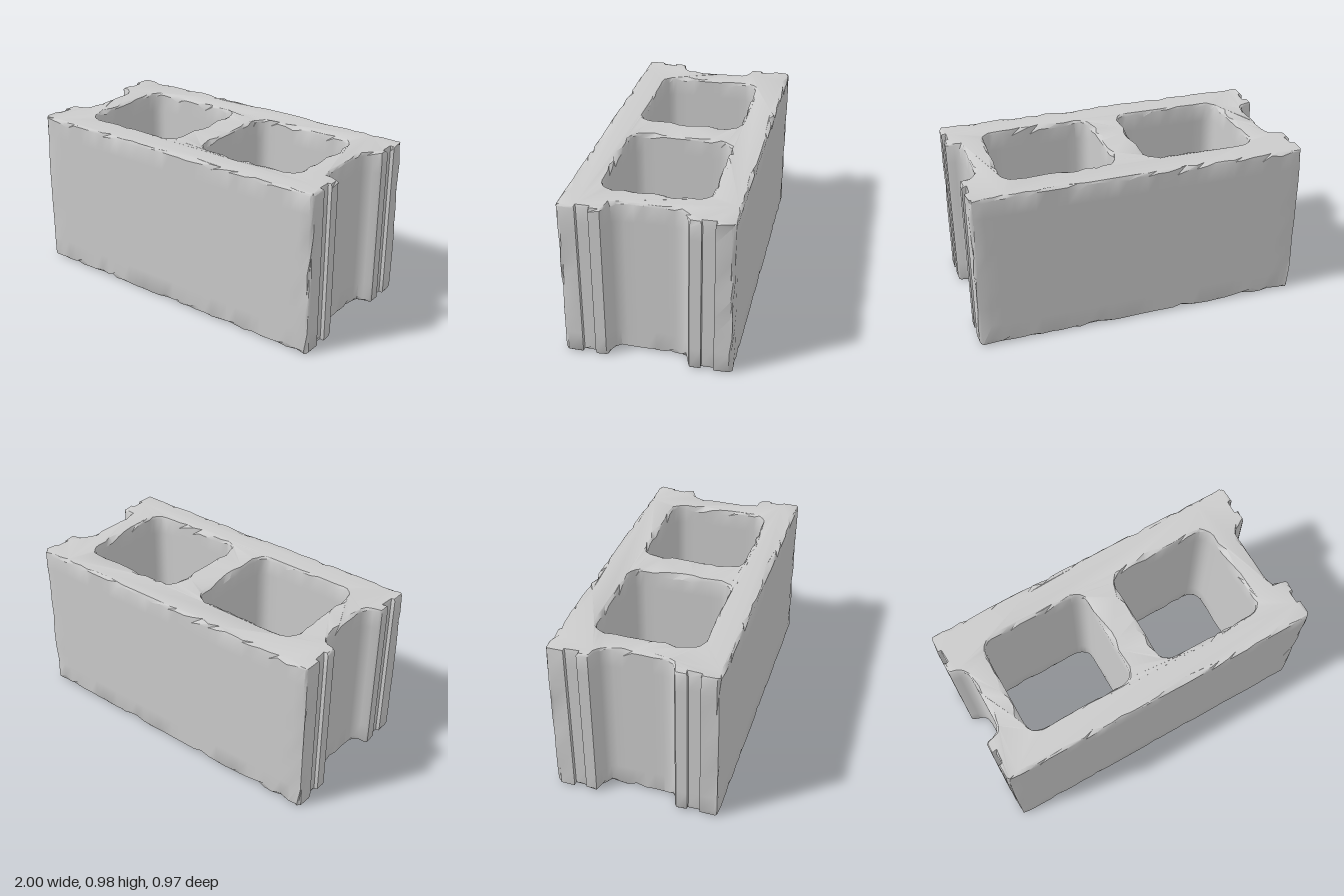
import * as THREE from 'three';
import { toCreasedNormals } from 'three/addons/utils/BufferGeometryUtils.js';

const BOTTOM = 0.008, TOP = 0.981, HALF_DEPTH = 0.487;

// Small seeded generator for the chipped edges
function seeded(seed) {
  return () => {
    seed = (seed * 16807) % 2147483647;
    return seed / 2147483647;
  };
}

// Split long edges of a closed loop so that they can be chipped
function subdivide(loop, step = 0.06) {
  const out = [];
  loop.forEach((a, i) => {
    const b = loop[(i + 1) % loop.length];
    const n = Math.max(1, Math.round(a.distanceTo(b) / step));
    for (let k = 0; k < n; k++) out.push(a.clone().lerp(b, k / n));
  });
  return out;
}

// Plan outline: flanges with a groove, and a rounded recess at each end
function outerLoop() {
  const quarter = [
    [0.978, -HALF_DEPTH], [0.993, -0.481], [0.998, -0.467], [0.998, -0.38], [0.976, -0.378],
    [0.976, -0.308], [0.998, -0.306], [0.998, -0.242], [0.985, -0.232], [0.95, -0.222],
    [0.92, -0.205], [0.903, -0.178], [0.898, -0.14],
  ].map(([x, s]) => new THREE.Vector2(x, s));
  const end = [...quarter, ...quarter.map((p) => new THREE.Vector2(p.x, -p.y)).reverse()];
  return subdivide([...end, ...end.map((p) => p.clone().negate())]);
}

// Rounded rectangular core, clockwise
function coreLoop(x0, x1, s0, s1, r = 0.075) {
  const pts = [];
  const corners = [[x1 - r, s1 - r], [x0 + r, s1 - r], [x0 + r, s0 + r], [x1 - r, s0 + r]];
  corners.forEach(([cx, cy], q) => {
    for (let k = 0; k <= 4; k++) {
      const a = (q + k / 4) * Math.PI / 2;
      pts.push(new THREE.Vector2(cx + r * Math.cos(a), cy + r * Math.sin(a)));
    }
  });
  return subdivide(pts.reverse());
}

// Unit directions pointing away from the material
function outward(loop) {
  const n = loop.length;
  return loop.map((p, i) => {
    const a = p.clone().sub(loop[(i + n - 1) % n]).normalize();
    const b = loop[(i + 1) % n].clone().sub(p).normalize();
    const t = a.add(b).normalize();
    return new THREE.Vector2(t.y, -t.x);
  });
}

function createBlockGeometry() {
  const rand = seeded(4711);
  const loops = [
    outerLoop(),
    coreLoop(-0.76, -0.09, -0.315, 0.305),
    coreLoop(0.1, 0.768, -0.312, 0.305),
  ];
  const pos = [], index = [];
  const topCap = [], bottomCap = [];   // vertex indices, one list per loop
  const levels = [0.14, 0.26, 0.38, 0.5, 0.62, 0.74, 0.86];

  loops.forEach((loop, li) => {
    const dirs = outward(loop), n = loop.length;
    // Room available at each point, so chips never cross a neighbour
    const room = loop.map((p, i) => Math.min(1, Math.min(
      p.distanceTo(loop[(i + 1) % n]), p.distanceTo(loop[(i + n - 1) % n])) / 0.05));
    const addRing = (heightAt, insetAt) => {
      const start = pos.length / 3;
      loop.forEach((p, i) => {
        const q = p.clone().addScaledVector(dirs[i], -insetAt(i));
        pos.push(q.x, heightAt(i), -q.y);
      });
      return start;
    };
    const chips = () => loop.map((_, i) => 0.006 + 0.03 * room[i] * rand() ** 3);
    const drops = () => loop.map(() => 0.008 + 0.035 * rand() ** 3);
    const lowChip = chips(), lowDrop = drops(), highChip = chips(), highDrop = drops();
    const atCorner = (p) => li === 0 && Math.abs(p.x) > 0.97 && Math.abs(p.y) > 0.46;
    const wear = (i) => (atCorner(loop[i]) ? 0.014 * rand() ** 2 : 0);

    const rings = [
      addRing(() => BOTTOM + 0.006 * (rand() - 0.5), (i) => lowChip[i]),
      addRing((i) => BOTTOM + lowDrop[i], wear),
      ...levels.map((y) => addRing(() => y, wear)),
      addRing((i) => TOP - highDrop[i], wear),
      addRing(() => TOP + 0.006 * (rand() - 0.5), (i) => highChip[i]),
    ];
    for (let r = 0; r < rings.length - 1; r++) {
      for (let i = 0; i < n; i++) {
        const j = (i + 1) % n, a = rings[r], b = rings[r + 1];
        index.push(a + i, a + j, b + j, a + i, b + j, b + i);
      }
    }
    bottomCap.push(loop.map((_, i) => rings[0] + i));
    topCap.push(loop.map((_, i) => rings[rings.length - 1] + i));
  });

  // Flat top and bottom faces with the two cores left open
  const addCap = (cap, up) => {
    const flat = cap.map((ids) => ids.map((v) => new THREE.Vector2(pos[v * 3], -pos[v * 3 + 2])));
    const ids = cap.flat();
    THREE.ShapeUtils.triangulateShape(flat[0], flat.slice(1)).forEach(([a, b, c]) => {
      index.push(ids[a], ids[up ? b : c], ids[up ? c : b]);
    });
  };
  addCap(topCap, true);
  addCap(bottomCap, false);

  const geometry = new THREE.BufferGeometry();
  geometry.setAttribute('position', new THREE.Float32BufferAttribute(pos, 3));
  geometry.setIndex(index);
  return toCreasedNormals(geometry, 0.75);
}

export function createModel() {
  const group = new THREE.Group();
  group.name = 'cinderBlock';
  const block = new THREE.Mesh(
    createBlockGeometry(),
    new THREE.MeshStandardMaterial({ color: 0xcccccc }),
  );
  block.name = 'hollowBlock';
  group.add(block);
  return group;
}
